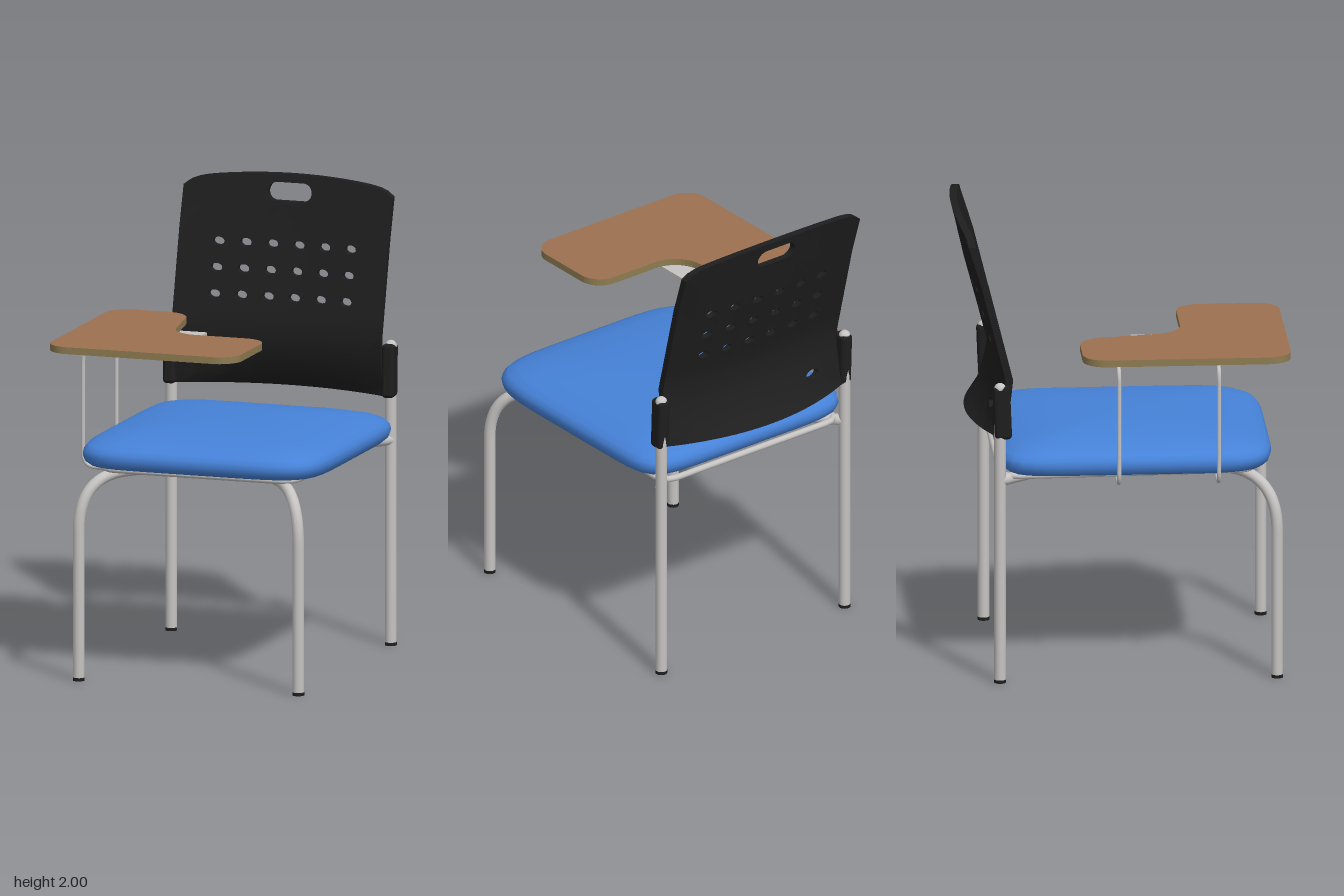
import * as THREE from 'three';
import { mergeGeometries, toCreasedNormals } from 'three/addons/utils/BufferGeometryUtils.js';
import { RoundedBoxGeometry } from 'three/addons/geometries/RoundedBoxGeometry.js';

const material = (name, color, side = THREE.FrontSide) => {
  const m = new THREE.MeshStandardMaterial({ color, side });
  m.name = name;
  return m;
};
const V = (x, y, z) => new THREE.Vector3(x, y, z);
const CX = 0.04; // chair centre line; the writing tablet overhangs to the right

// Path through points with rounded corners
function roundedPath(points, radius, closed = false) {
  const path = new THREE.CurvePath();
  const n = points.length;
  const toward = (a, b) => a.clone().add(b.clone().sub(a).setLength(Math.min(radius, a.distanceTo(b) * 0.49)));
  let last = closed ? null : points[0];
  let first = null;
  for (let i = closed ? 0 : 1; i < (closed ? n : n - 1); i++) {
    const p = points[i];
    const a = toward(p, points[(i + n - 1) % n]);
    const b = toward(p, points[(i + 1) % n]);
    if (last) path.add(new THREE.LineCurve3(last, a));
    else first = a;
    path.add(new THREE.QuadraticBezierCurve3(a, p, b));
    last = b;
  }
  path.add(new THREE.LineCurve3(last, closed ? first : points[n - 1]));
  return path;
}

// Cushion: scaled copies of a rounded outline stacked into a dome
function cushionGeometry() {
  const profile = [[0, 0.93], [0.5, 0.928], [0.9, 0.92], [0.955, 0.923], [0.985, 0.938], [1, 0.965], [0.992, 0.988],
    [0.965, 1.008], [0.9, 1.027], [0.75, 1.05], [0.5, 1.066], [0.25, 1.073], [0, 1.075]];
  const N = 96, pos = [], index = [];
  for (const [s, y] of profile) {
    for (let j = 0; j < N; j++) {
      const t = (j / N) * Math.PI * 2, c = Math.cos(t), d = Math.sin(t);
      const e = d < 0 ? 8 : 6;
      const r = Math.pow(Math.abs(c) ** e + Math.abs(d) ** e, -1 / e);
      pos.push(CX + 0.555 * s * c * r, y, 0.055 + 0.59 * s * d * r);
    }
  }
  for (let i = 0; i < profile.length - 1; i++) {
    for (let j = 0; j < N; j++) {
      const a = i * N + j, b = i * N + ((j + 1) % N);
      index.push(a, a + N, b, b, a + N, b + N);
    }
  }
  const g = new THREE.BufferGeometry();
  g.setAttribute('position', new THREE.Float32BufferAttribute(pos, 3));
  g.setIndex(index);
  g.computeVertexNormals();
  return g;
}

// Backrest: a grid of small panels, some pierced, bent into one shell
function backrestGeometry() {
  const rows = [1.09, 1.14, 1.25, 1.34, 1.43, 1.54, 1.65, 1.76, 1.86, 2.0];
  const cols = [-0.44, -0.325, -0.205, -0.085, 0.035, 0.155, 0.275, 0.395, 0.51];
  const thick = 0.032;
  const cells = [];
  for (let r = 0; r < rows.length - 1; r++) {
    const handleRow = r === 8;
    const xs = handleRow ? cols.filter((x) => x !== 0.035) : cols;
    for (let c = 0; c < xs.length - 1; c++) {
      const [x0, x1, y0, y1] = [xs[c], xs[c + 1], rows[r], rows[r + 1]];
      const shape = new THREE.Shape();
      shape.moveTo(x0, y0);
      for (let k = 1; k <= 4; k++) shape.lineTo(x0 + ((x1 - x0) * k) / 4, y0);
      for (let k = 0; k <= 4; k++) shape.lineTo(x1 - ((x1 - x0) * k) / 4, y1);
      const hole = new THREE.Path();
      if (handleRow && c === 3) {
        hole.absarc(-0.025, 1.925, 0.04, Math.PI / 2, Math.PI * 1.5);
        hole.absarc(0.095, 1.925, 0.04, -Math.PI / 2, Math.PI / 2);
        shape.holes.push(hole);
      } else if (r >= 4 && r <= 6 && c >= 1 && c <= 6) {
        hole.absellipse((x0 + x1) / 2, (y0 + y1) / 2, 0.026, 0.018, 0, Math.PI * 2);
        shape.holes.push(hole);
      } else if (r === 1 && c === 1) {
        hole.absellipse(-0.265, 1.195, 0.036, 0.02, 0, Math.PI * 2);
        shape.holes.push(hole);
      }
      cells.push(new THREE.ExtrudeGeometry(shape, { depth: thick, bevelEnabled: false, curveSegments: 10 }));
    }
  }
  const g = mergeGeometries(cells);
  g.clearGroups();
  // side profile: height, depth at the edges, extra depth in the middle
  const bend = [[1.09, -0.52, 0.105], [1.14, -0.51, 0.06], [1.25, -0.49, 0.045], [1.34, -0.48, 0.035],
    [1.54, -0.53, 0.036], [1.76, -0.585, 0.04], [2.0, -0.64, 0.042]];
  const p = g.attributes.position;
  for (let i = 0; i < p.count; i++) {
    const x = p.getX(i), y = p.getY(i), u = Math.abs(x - 0.035) / 0.475;
    let k = 0;
    while (k < bend.length - 2 && y > bend[k + 1][0]) k++;
    const t = (y - bend[k][0]) / (bend[k + 1][0] - bend[k][0]);
    const edge = THREE.MathUtils.lerp(bend[k][1], bend[k + 1][1], t);
    const mid = THREE.MathUtils.lerp(bend[k][2], bend[k + 1][2], t);
    const drop = (0.035 * u * u + 0.03 * u ** 14) * THREE.MathUtils.clamp((y - 1.76) / 0.24, 0, 1);
    p.setXYZ(i, x, y - drop, edge - mid * (1 - u * u) + p.getZ(i) - thick);
  }
  return toCreasedNormals(g, 0.7);
}

// Writing tablet: rounded L outline given in x and z
function tabletGeometry() {
  const pts = [[-0.6, -0.185, 0.1], [-0.25, -0.185, 0.1], [-0.175, 0.265, 0.11], [0.267, 0.265, 0.1],
    [0.267, 0.71, 0.1], [-0.6, 0.71, 0.1]].map(([x, z, r]) => ({ p: new THREE.Vector2(x, z), r }));
  const shape = new THREE.Shape();
  pts.forEach(({ p, r }, i) => {
    const cut = (q) => p.clone().add(q.p.clone().sub(p).setLength(r));
    const a = cut(pts[(i + 5) % 6]), b = cut(pts[(i + 1) % 6]);
    if (i) shape.lineTo(a.x, a.y);
    else shape.moveTo(a.x, a.y);
    const c1 = a.clone().lerp(p, 0.55), c2 = b.clone().lerp(p, 0.55);
    shape.bezierCurveTo(c1.x, c1.y, c2.x, c2.y, b.x, b.y);
  });
  return new THREE.ExtrudeGeometry(shape, { depth: 0.03, bevelEnabled: false, curveSegments: 10 })
    .rotateX(Math.PI / 2).translate(0, 1.465, 0);
}

export function createModel() {
  const model = new THREE.Group();
  const blue = material('blue upholstery', 0x4682d8);
  const black = material('black plastic', 0x1e1e1e);
  const metal = material('grey metal', 0xc6c4c2, THREE.DoubleSide);
  const wood = material('brown tabletop', 0x9c7050);
  const edge = material('tan table edge', 0x8e7c52);

  const add = (name, geometry, mat, x = 0, y = 0, z = 0) => {
    const mesh = new THREE.Mesh(geometry, mat);
    mesh.name = name;
    mesh.position.set(x, y, z);
    model.add(mesh);
    return mesh;
  };
  const tube = (name, points, bendRadius, radius, closed = false) =>
    add(name, new THREE.TubeGeometry(roundedPath(points, bendRadius, closed), 120, radius, 12, closed), metal);

  add('seatCushion', cushionGeometry(), blue);
  add('backrest', backrestGeometry(), black);

  for (const s of [-1, 1]) {
    const side = s < 0 ? 'right' : 'left';
    const x = CX + s * 0.5;
    // rear post with domed top and bracket
    add(side + 'RearPost', new THREE.CylinderGeometry(0.025, 0.025, 1.3, 20), metal, x, 0.66, -0.538);
    add(side + 'PostCap', new THREE.SphereGeometry(0.026, 20, 12), metal, x, 1.309, -0.538);
    const bracket = add(side + 'BackBracket', new RoundedBoxGeometry(0.056, 0.235, 0.074, 3, 0.018), black,
      x - s * 0.002, 1.203, -0.528);
    bracket.rotation.x = -0.04;
    // front leg bends under the seat and runs to the opposite rear post
    tube(side + 'FrontLeg', [V(x, 0.01, 0.655), V(x, 0.893, 0.655), V(CX - s * 0.5, 0.9, -0.535)], 0.24, 0.025);
    for (const z of [-0.538, 0.655]) add(side + 'FootCap', new THREE.CylinderGeometry(0.0255, 0.0255, 0.014, 20), black, x, 0.007, z);
  }

  // rod frame under the seat
  tube('seatFrame', [V(CX - 0.48, 0.912, -0.53), V(CX + 0.48, 0.912, -0.53), V(CX + 0.44, 0.912, 0.56),
    V(CX - 0.44, 0.912, 0.56)], 0.08, 0.014, true);

  // writing tablet with its mounting plate and wire supports
  add('writingTablet', tabletGeometry(), [wood, edge]);
  add('tabletPlate', new THREE.BoxGeometry(0.38, 0.018, 0.38), metal, -0.28, 1.426, 0.24);
  const wire = (z) => [V(-0.46, 1.405, z), V(-0.53, 1.395, z), V(-0.53, 0.885, z), V(-0.36, 0.885, z)];
  for (const z of [0.4, -0.03]) tube('tabletSupport', wire(z), 0.06, 0.009);
  tube('tabletRail', [V(-0.46, 1.405, 0.41), V(-0.46, 1.405, 0.2), V(-0.46, 1.405, -0.04)], 0.01, 0.009);
  return model;
}
